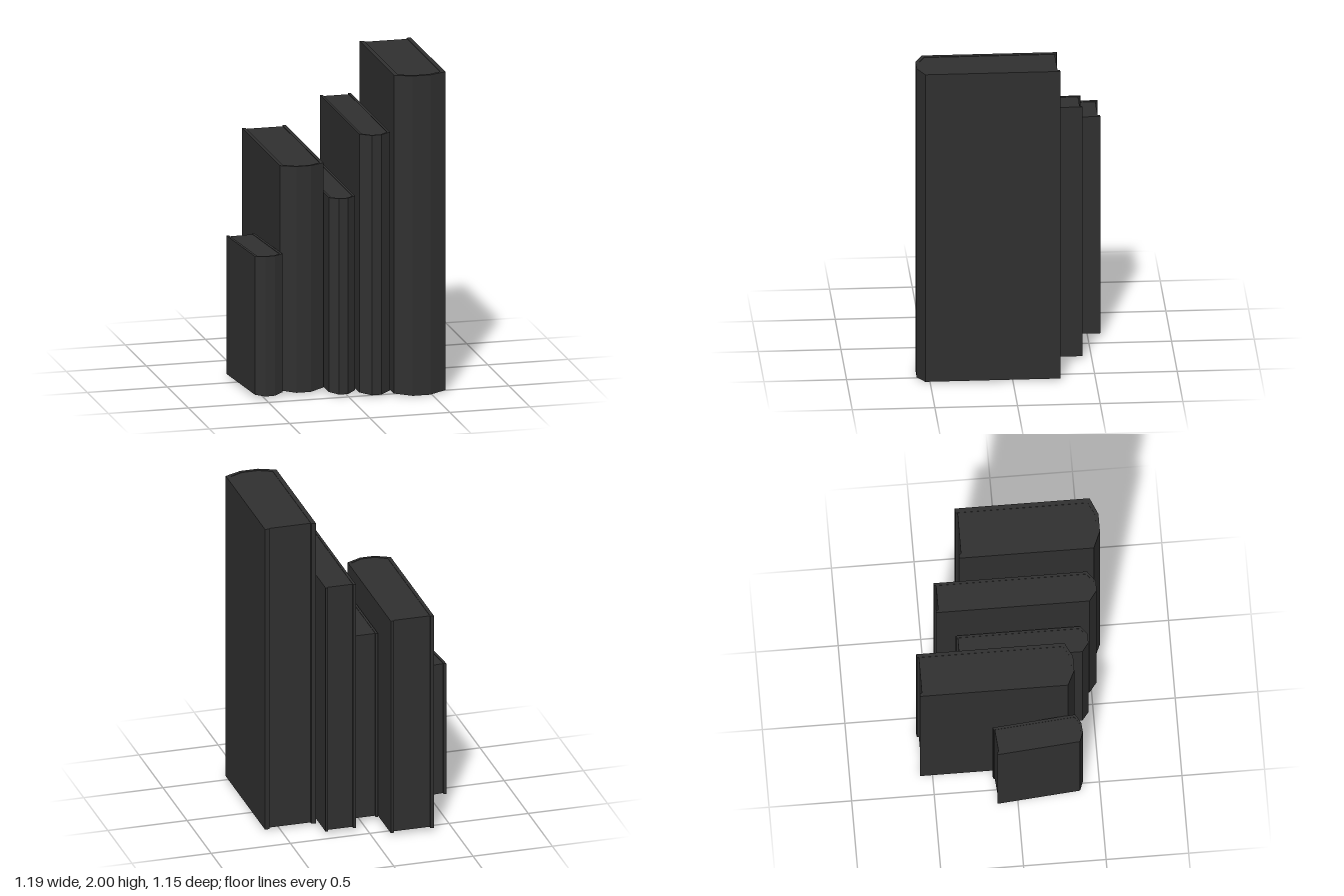
import * as THREE from 'three';

const charcoal = new THREE.MeshStandardMaterial({ color: 0x303030 });
charcoal.name = 'charcoal';

// Extrude a plan outline of [x, z] points upward from y0 to y1
function prism(points, y0, y1) {
  const shape = new THREE.Shape(points.map(([x, z]) => new THREE.Vector2(x, -z)));
  const geo = new THREE.ExtrudeGeometry(shape, { depth: y1 - y0, bevelEnabled: false });
  return geo.rotateX(-Math.PI / 2).translate(0, y0, 0);
}

// Upright book: origin at the middle of its back edge, spine facing +z
function makeBook({ name, x, z, w, length, bulge, flat, t, gap, bottom, top, turn = 0 }) {
  const book = new THREE.Group();
  book.name = name;
  const h = w / 2, hi = h - t, fi = flat * 0.92;
  const outerFront = length + bulge, innerFront = outerFront - t * 0.7, innerSide = length - t * 0.5;

  // Boards and faceted spine in one wrap
  const cover = prism([
    [-h, 0], [-h, length], [-flat, outerFront], [flat, outerFront], [h, length], [h, 0],
    [hi, 0.003], [hi, innerSide], [fi, innerFront], [-fi, innerFront], [-hi, innerSide], [-hi, 0.003],
  ], bottom, top);

  // The spine sags slightly at its foot
  const p = cover.attributes.position;
  for (let i = 0; i < p.count; i++) {
    if (p.getY(i) < bottom + 0.001 && p.getZ(i) > length + 0.001) p.setY(i, bottom - 0.01);
  }
  cover.computeVertexNormals();

  // Page block set just inside the cover
  const pages = prism([
    [-hi, gap], [-hi, innerSide], [-fi, innerFront], [fi, innerFront], [hi, innerSide], [hi, gap],
  ], bottom + 0.004, top - 0.003);

  for (const [part, geo] of [['cover', cover], ['pages', pages]]) {
    const mesh = new THREE.Mesh(geo, charcoal);
    mesh.name = part;
    book.add(mesh);
  }
  book.position.set(x, 0, z);
  book.rotation.y = turn;
  return book;
}

export function createModel() {
  const group = new THREE.Group();
  group.name = 'bookRow';
  const books = [
    { name: 'smallLeaningBook', x: -0.509, z: -0.132, w: 0.177, length: 0.505, bulge: 0.027, flat: 0.03,
      t: 0.016, gap: 0.01, bottom: 0.02, top: 0.885, turn: 0.087 },
    { name: 'wideBook', x: -0.246, z: -0.578, w: 0.272, length: 0.898, bulge: 0.045, flat: 0.045,
      t: 0.022, gap: 0.015, bottom: 0.02, top: 1.425 },
    { name: 'shortThinBook', x: -0.024, z: -0.325, w: 0.163, length: 0.755, bulge: 0.04, flat: 0.028,
      t: 0.014, gap: 0.012, bottom: 0.02, top: 1.235 },
    { name: 'tallThinBook', x: 0.165, z: -0.443, w: 0.19, length: 0.93, bulge: 0.048, flat: 0.03,
      t: 0.016, gap: 0.015, bottom: 0.02, top: 1.635 },
    { name: 'tallThickBook', x: 0.435, z: -0.287, w: 0.32, length: 0.817, bulge: 0.045, flat: 0.055,
      t: 0.028, gap: 0.015, bottom: 0.01, top: 2 },
  ];
  for (const b of books) group.add(makeBook(b));
  return group;
}
